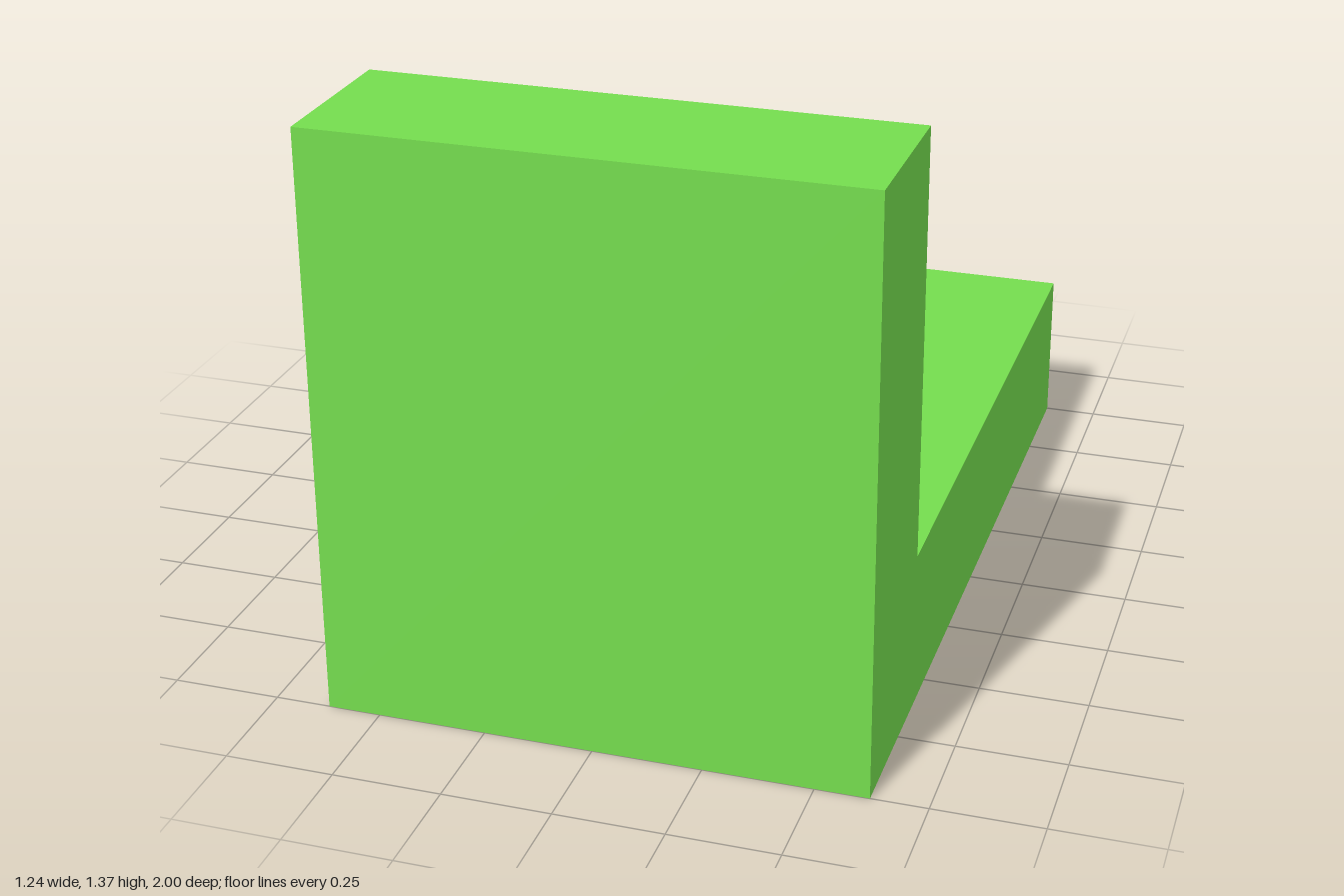
import * as THREE from 'three';

export function createModel() {
  const model = new THREE.Group();
  const green = new THREE.MeshStandardMaterial({ color: 0x74dc4e, flatShading: true });
  const grey = new THREE.MeshStandardMaterial({ color: 0xcccccc, flatShading: true });

  const width = 1.244, baseTop = 0.375, height = 1.37, wallBack = 0.61;

  // L-shaped side profile (z, y), extruded across the width
  const profile = new THREE.Shape([
    [-1, 0], [1, 0], [1, height], [wallBack, height], [wallBack, baseTop], [-1, baseTop],
  ].map(([z, y]) => new THREE.Vector2(z, y)));
  const bodyGeometry = new THREE.ExtrudeGeometry(profile, { depth: width, bevelEnabled: false });
  bodyGeometry.translate(0, 0, -width / 2).rotateY(-Math.PI / 2);
  const body = new THREE.Mesh(bodyGeometry, green);
  body.name = 'baseAndFrontWall';
  model.add(body);

  // Open sixteen-sided cup: outer wall, rim, inner wall, floor
  const outer = 0.185, inner = 0.165, cupTop = 0.785, floor = baseTop + 0.005;
  const cupProfile = [
    [outer, baseTop], [outer, cupTop], [inner, cupTop], [inner, floor], [0, floor],
  ].map(([r, y]) => new THREE.Vector2(r, y));
  const cup = new THREE.Mesh(new THREE.LatheGeometry(cupProfile, 16), grey);
  cup.name = 'hollowPost';
  model.add(cup);

  return model;
}
